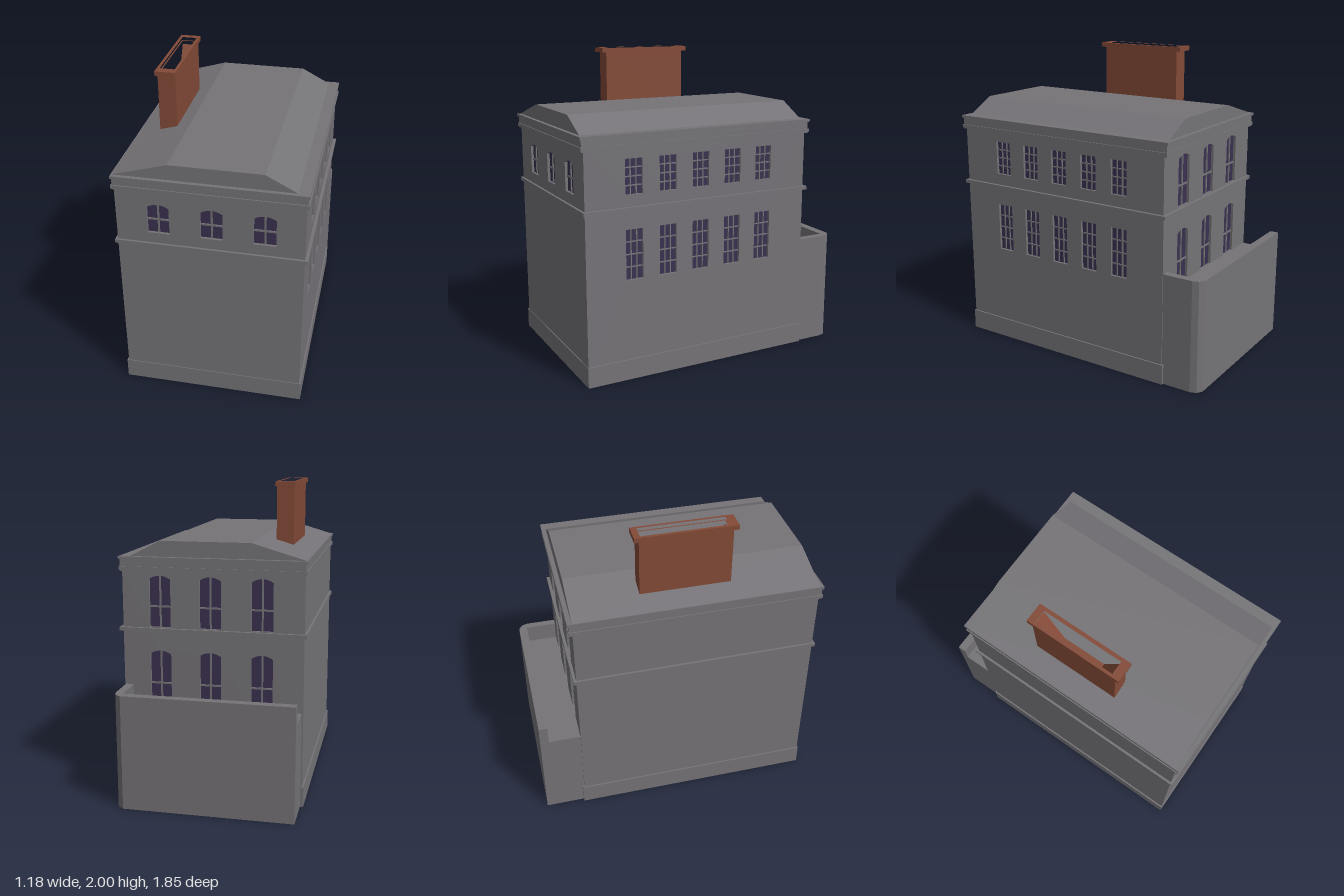
import * as THREE from 'three';

const stone = new THREE.MeshStandardMaterial({ color: 0x757377 });
stone.name = 'grey stone';
const brick = new THREE.MeshStandardMaterial({ color: 0x834a37 });
brick.name = 'red brick';
const glass = new THREE.MeshStandardMaterial({ color: 0x3a3150 });
glass.name = 'dark violet glass';

function add(parent, name, geometry, material) {
  const mesh = new THREE.Mesh(geometry, material);
  mesh.name = name;
  parent.add(mesh);
  return mesh;
}

// Box given by its limits
function block(parent, name, [x0, x1], [y0, y1], [z0, z1], material = stone) {
  const mesh = add(parent, name, new THREE.BoxGeometry(x1 - x0, y1 - y0, z1 - z0), material);
  mesh.position.set((x0 + x1) / 2, (y0 + y1) / 2, (z0 + z1) / 2);
  return mesh;
}

function polygon(points) {
  return new THREE.Shape(points.map(([x, y]) => new THREE.Vector2(x, y)));
}

const rect = (x0, x1, y0, y1) => [[x0, y0], [x1, y0], [x1, y1], [x0, y1]];

function extrude(shape, depth) {
  return new THREE.ExtrudeGeometry(shape, { depth, bevelEnabled: false, curveSegments: 6 });
}

// Upright prism from a plan of [x, z] points, with an optional hole
function prism(parent, name, plan, y0, y1, material, hole) {
  const flip = (pts) => pts.map(([x, z]) => [x, -z]);
  const shape = polygon(flip(plan));
  if (hole) shape.holes.push(polygon(flip(hole)));
  const geometry = extrude(shape, y1 - y0).rotateX(-Math.PI / 2).translate(0, y0, 0);
  return add(parent, name, geometry, material);
}

// Window outline, with a shallow arched head if arch > 0
function windowShape({ u, w, y0, y1, arch }) {
  const a = u - w / 2, b = u + w / 2;
  const shape = new THREE.Shape();
  shape.moveTo(a, y0);
  shape.lineTo(b, y0);
  shape.lineTo(b, y1 - arch);
  if (arch) shape.quadraticCurveTo(u, y1 + arch, a, y1 - arch);
  else shape.lineTo(a, y1);
  shape.closePath();
  return shape;
}

const REVEAL = 0.02;

// Wall skin pierced by windows, with recessed glass and glazing bars
function wall(parent, name, u0, u1, windows) {
  const group = new THREE.Group();
  group.name = name;
  parent.add(group);
  const skin = polygon(rect(u0, u1, 0, 1.47));
  for (const win of windows) {
    const { u, w, y0, y1, arch, cols, bars, bar } = win;
    skin.holes.push(windowShape(win));
    const pane = add(group, 'windowPane', new THREE.ShapeGeometry(windowShape(win), 6), glass);
    pane.position.z = 0.003;
    for (let i = 1; i < cols; i++) {
      const x = u - w / 2 + (w * i) / cols;
      block(group, 'verticalBar', [x - bar / 2, x + bar / 2], [y0, y1], [0, 0.01]);
    }
    for (const t of bars) {
      const y = y0 + (y1 - y0) * t;
      block(group, 'horizontalBar', [u - w / 2, u + w / 2], [y - bar / 2, y + bar / 2], [0, 0.01]);
    }
  }
  add(group, name + 'Skin', extrude(skin, REVEAL), stone);
  return group;
}

export function createModel() {
  const model = new THREE.Group();
  model.name = 'townBuilding';

  // Main body and plinth
  block(model, 'bodyCore', [-0.58, 0.545], [0, 1.47], [-0.64, 0.88]);
  block(model, 'plinth', [-0.59, 0.575], [0, 0.132], [-0.67, 0.905]);

  // Windowed walls
  const columns = [-0.32, 0.005, 0.325];
  const front = columns.map((u) => ({
    u, w: 0.135, y0: 1.18, y1: 1.38, arch: 0.022, cols: 2, bars: [0.46], bar: 0.011,
  }));
  wall(model, 'frontWall', -0.58, 0.565, front).position.z = 0.88;

  const back = [[0.61, 0.965], [1.115, 1.44]].flatMap(([y0, y1]) => columns.map((x) => ({
    u: -x, w: 0.135, y0, y1, arch: 0.022, cols: 2, bars: [0.4], bar: 0.011,
  })));
  const backWall = wall(model, 'backWall', -0.565, 0.58, back);
  backWall.rotation.y = Math.PI;
  backWall.position.z = -0.64;

  const side = [[0.65, 0.97], [1.185, 1.405]].flatMap(([y0, y1]) =>
    [0.58, 0.35, 0.12, -0.11, -0.34].map((z) => ({
      u: -z, w: 0.115, y0, y1, arch: 0, cols: 3, bars: [0.25, 0.5, 0.75], bar: 0.007,
    })));
  const sideWall = wall(model, 'sideWall', -0.88, 0.64, side);
  sideWall.rotation.y = Math.PI / 2;
  sideWall.position.x = 0.545;

  // String course and stepped cornice
  block(model, 'stringCourse', [-0.595, 0.585], [1.086, 1.11], [-0.68, 0.915]);
  block(model, 'corniceLower', [-0.592, 0.58], [1.472, 1.495], [-0.685, 0.922]);
  block(model, 'corniceMiddle', [-0.585, 0.572], [1.465, 1.545], [-0.68, 0.915]);
  block(model, 'corniceUpper', [-0.592, 0.58], [1.54, 1.557], [-0.69, 0.925]);

  // Uneven hipped roof running front to back
  const roof = polygon([[-0.585, 1.55], [0.52, 1.55], [0.51, 1.557], [0.32, 1.655], [-0.25, 1.655], [-0.585, 1.557]]);
  add(model, 'roof', extrude(roof, 1.56), stone).position.z = -0.66;

  // Rear terrace with a rounded corner and an L-shaped parapet
  const outer = [[-0.57, -0.925], [0.51, -0.925], [0.547, -0.9], [0.56, -0.86], [0.56, -0.655]];
  prism(model, 'terraceBase', [...outer, [-0.57, -0.655]], 0, 0.61, stone);
  prism(model, 'terraceParapet', [...outer, [0.51, -0.655], [0.51, -0.868], [-0.57, -0.868]], 0.61, 0.735, stone);

  // Hollow chimney with a projecting cap and a sloped flue floor
  const flue = rect(-0.436, -0.342, -0.21, 0.335);
  prism(model, 'chimneyStack', rect(-0.445, -0.333, -0.22, 0.36), 1.5, 1.975, brick, flue);
  prism(model, 'chimneyCap', rect(-0.455, -0.325, -0.25, 0.39), 1.97, 2, brick, flue);
  const hopper = polygon([[-0.215, 1.6], [0.34, 1.6], [0.34, 1.95], [0.21, 1.72], [-0.08, 1.72], [-0.215, 1.95]]);
  const floor = extrude(hopper, 0.1).rotateY(-Math.PI / 2);
  add(model, 'flueFloor', floor, brick).position.x = -0.339;

  return model;
}
